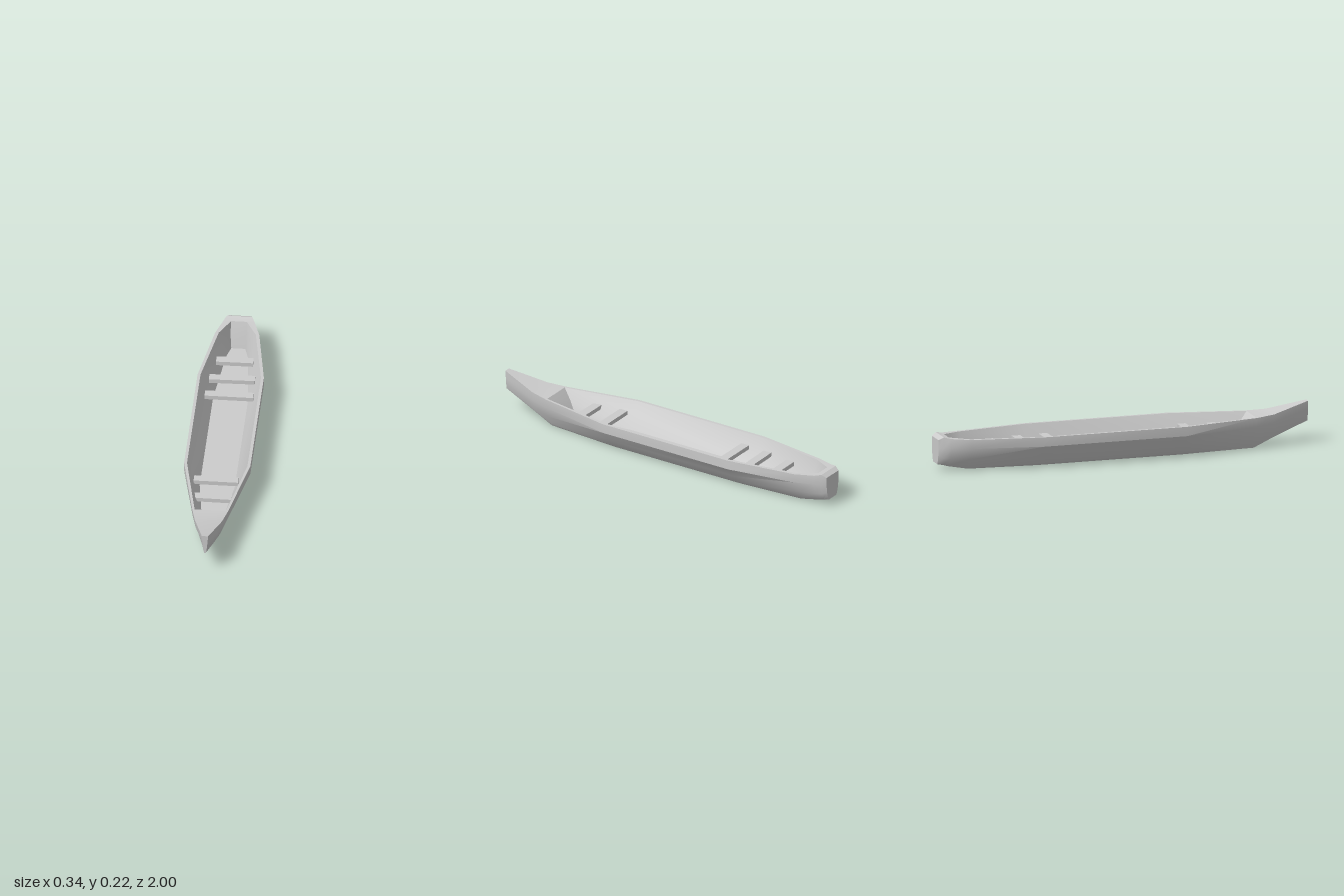
import * as THREE from 'three';
import { mergeGeometries, toCreasedNormals } from 'three/addons/utils/BufferGeometryUtils.js';

const material = new THREE.MeshStandardMaterial({ color: 0xcccccc });

// Skin a grid of points (rows of equal length); flip turns the faces round
function grid(rows, flip = false) {
  const n = rows[0].length, index = [];
  for (let j = 0; j < rows.length - 1; j++) {
    for (let i = 0; i < n - 1; i++) {
      const a = j * n + i, b = a + n, c = b + 1, d = a + 1;
      if (flip) index.push(a, c, b, a, d, c);
      else index.push(a, b, c, a, c, d);
    }
  }
  const geometry = new THREE.BufferGeometry();
  geometry.setAttribute('position', new THREE.Float32BufferAttribute(rows.flat(2), 3));
  geometry.setIndex(index);
  return geometry;
}

// Mirror a half section (from rim down to keel) into a full one, left to right
const full = half => [...half, ...half.slice().reverse().map(([x, y, z]) => [-x, y, z])];
// Pairs of opposite points, from rim down to keel, for closing an end
const pairs = section => section.slice(0, section.length / 2)
  .map((p, i) => [p, section[section.length - 1 - i]]);
const rimPair = section => [section[0], section[section.length - 1]];

function buildHull() {
  // Outside: z, then half width and height of rim, side, flare, bilge, keel
  const outer = [
    [-1.0, 0.055, 0.165, 0.055, 0.12, 0.05, 0.08, 0.04, 0.045, 0.035, 0.035],
    [-0.975, 0.065, 0.18, 0.07, 0.125, 0.06, 0.07, 0.045, 0.035, 0.037, 0.03],
    [-0.94, 0.08, 0.172, 0.085, 0.125, 0.068, 0.065, 0.05, 0.03, 0.04, 0.021],
    [-0.84, 0.113, 0.167, 0.113, 0.12, 0.085, 0.06, 0.06, 0.015, 0.048, 0.003],
    [-0.47, 0.17, 0.167, 0.17, 0.118, 0.12, 0.06, 0.087, 0.015, 0.068, 0],
    [0.30, 0.17, 0.167, 0.17, 0.118, 0.12, 0.06, 0.087, 0.015, 0.068, 0],
    [0.70, 0.092, 0.167, 0.089, 0.12, 0.066, 0.06, 0.047, 0.014, 0.038, 0],
    [0.80, 0.07, 0.174, 0.067, 0.13, 0.05, 0.085, 0.038, 0.056, 0.031, 0.043],
    [1.0, 0.016, 0.22, 0.013, 0.18, 0.01, 0.15, 0.007, 0.125, 0.004, 0.115],
  ].map(([z, ...v]) => full([0, 2, 4, 6, 8].map(k => [v[k], v[k + 1], z])));

  // Inside: z of rim, z of floor, half widths of rim, wall, floor, rim height
  const inner = [
    [-0.94, -0.90, 0.04, 0.042, 0.036, 0.172],
    [-0.84, -0.83, 0.095, 0.08, 0.055, 0.167],
    [-0.47, -0.47, 0.155, 0.13, 0.09, 0.167],
    [0.30, 0.30, 0.155, 0.13, 0.09, 0.167],
    [0.70, 0.61, 0.08, 0.066, 0.05, 0.167],
  ].map(([zRim, zFloor, rim, wall, floor, y]) => full([
    [rim, y, zRim], [wall, 0.11, (zRim + zFloor) / 2], [floor, 0.03, zFloor],
  ]));

  const last = outer.length - 1, end = inner.length - 1;
  const opposite = (a, b, at) => a.map((p, k) => [p[at(p)], b[k][at(b[k])]]);
  const beside = outer.slice(2, 7);
  const pieces = [
    grid(outer),                                         // outer skin
    grid(pairs(outer[0])),                               // stern face
    grid(pairs(outer[last]), true),                      // bow face
    grid(inner, true),                                   // inner skin and floor
    grid(pairs(inner[0]), true),                         // inner stern wall
    grid(pairs(inner[end])),                             // inner bow ramp
    grid(opposite(beside, inner, () => 0), true),        // left rim
    grid(opposite(beside, inner, p => p.length - 1)),    // right rim
    grid(outer.slice(0, 3).map(rimPair), true),          // stern deck
    grid(outer.slice(6).map(rimPair), true),             // bow deck
  ];
  return toCreasedNormals(mergeGeometries(pieces), 0.7);
}

export function createModel() {
  const group = new THREE.Group();

  const hull = new THREE.Mesh(buildHull(), material);
  hull.name = 'hull';
  group.add(hull);

  // Plank seats: z, centre x, length, slight turn
  const seats = [
    [-0.68, 0.002, 0.19, 0.01],
    [-0.525, 0.002, 0.235, 0.02],
    [-0.38, 0, 0.25, 0],
    [0.36, 0, 0.228, 0],
    [0.51, -0.004, 0.195, -0.01],
  ];
  seats.forEach(([z, x, length, turn], i) => {
    const seat = new THREE.Mesh(new THREE.BoxGeometry(length, 0.022, 0.046), material);
    seat.name = `seat${i + 1}`;
    seat.position.set(x, 0.107, z);
    seat.rotation.y = turn;
    group.add(seat);
  });

  // Shift slightly to centre the hull
  group.children.forEach(part => { part.position.x -= 0.002; });
  return group;
}
